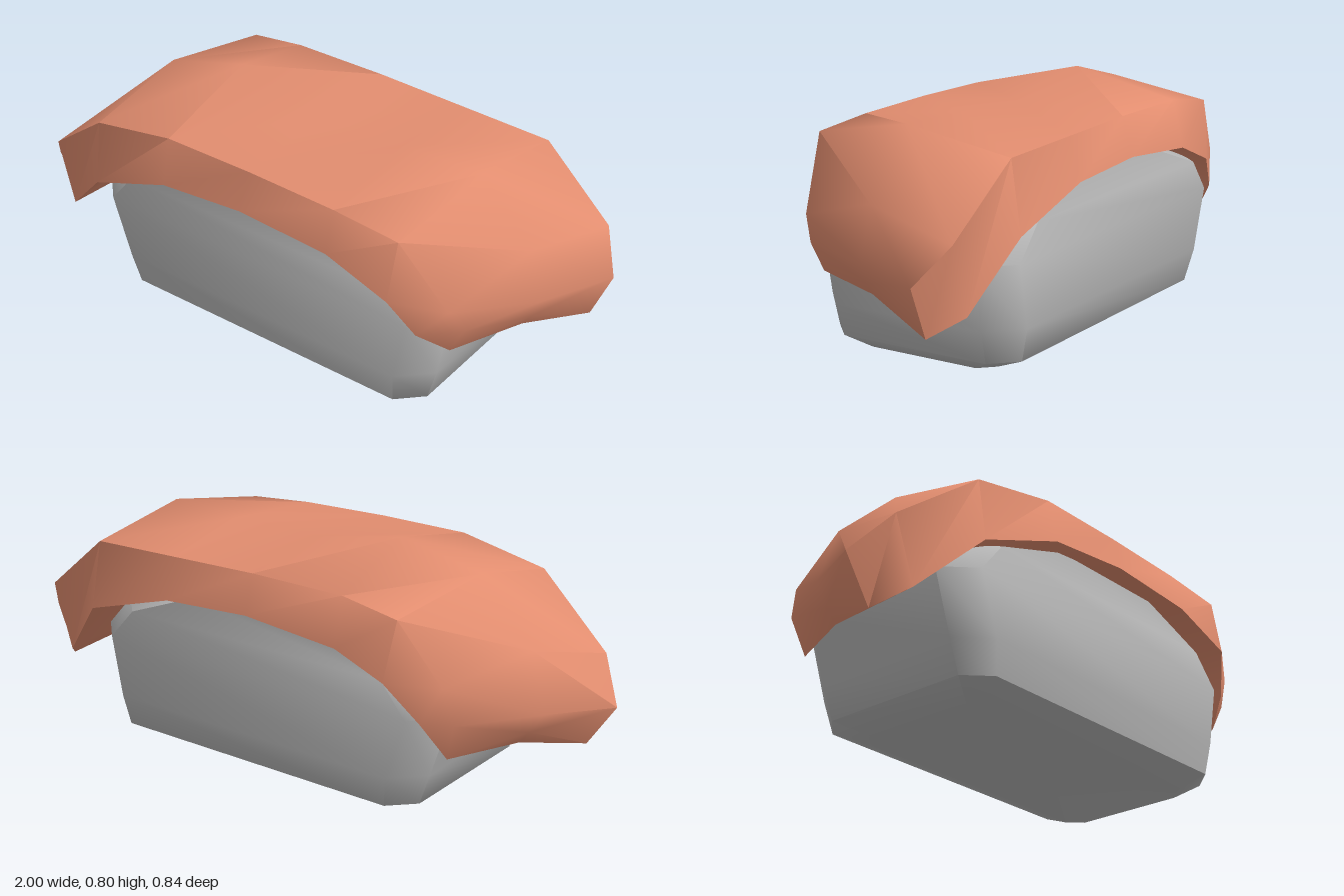
import * as THREE from 'three';
import { toCreasedNormals } from 'three/addons/utils/BufferGeometryUtils.js';

// Skin a row of closed cross-sections (equal point counts) and cap both ends.
function loft(rings, crease) {
  const n = rings[0].length;
  const pos = rings.flat(2);
  const index = [];
  rings.slice(1).forEach((_, r) => {
    for (let i = 0; i < n; i++) {
      const a = r * n + i, b = r * n + (i + 1) % n;
      index.push(a, b, a + n, b, b + n, a + n);
    }
  });
  const cap = (r, flip) => {
    const c = [0, 1, 2].map(k => rings[r].reduce((s, p) => s + p[k], 0) / n);
    const ci = pos.length / 3;
    pos.push(...c);
    for (let i = 0; i < n; i++) {
      const a = r * n + i, b = r * n + (i + 1) % n;
      index.push(...(flip ? [ci, b, a] : [ci, a, b]));
    }
  };
  cap(0, true);
  cap(rings.length - 1, false);
  const g = new THREE.BufferGeometry();
  g.setAttribute('position', new THREE.Float32BufferAttribute(pos, 3));
  g.setIndex(index);
  return toCreasedNormals(g, crease);
}

export function createModel() {
  const model = new THREE.Group();
  const salmon = new THREE.MeshStandardMaterial({ color: 0xe28d6f, side: THREE.DoubleSide });
  salmon.name = 'salmon';
  const rice = new THREE.MeshStandardMaterial({ color: 0xb9b9b9 });
  rice.name = 'rice';

  const add = (name, geometry, material) => {
    const m = new THREE.Mesh(geometry, material);
    m.name = name;
    model.add(m);
  };

  // Rice block: chamfered rectangles stacked upward [y, xMin, xMax, zMin, zMax, chamfer]
  const layers = [
    [0.0, -0.46, 0.6, -0.26, 0.235, 0.05],
    [0.04, -0.58, 0.65, -0.36, 0.34, 0.08],
    [0.15, -0.62, 0.68, -0.385, 0.36, 0.1],
    [0.36, -0.69, 0.72, -0.385, 0.36, 0.1],
    [0.47, -0.6, 0.62, -0.385, 0.36, 0.1],
    [0.57, -0.3, 0.36, -0.375, 0.355, 0.1],
  ].map(([y, x0, x1, z0, z1, c]) => [
    [x0 + c, y, z1], [x1 - c, y, z1], [x1, y, z1 - c], [x1, y, z0 + c],
    [x1 - c, y, z0], [x0 + c, y, z0], [x0, y, z0 + c], [x0, y, z1 - c],
  ]);
  add('riceBlock', loft(layers, 1.0), rice);

  // Fish slice: skewed sections from -x to +x,
  // each [front bottom, front top, ridge, back top, back bottom]
  const sections = [
    [[-0.9, 0.16, 0.2], [-1, 0.31, 0.2], [-0.88, 0.34, -0.05], [-0.73, 0.36, -0.33], [-0.69, 0.23, -0.3]],
    [[-0.83, 0.22, 0.31], [-0.9, 0.44, 0.3], [-0.82, 0.53, -0.03], [-0.7, 0.48, -0.35], [-0.64, 0.36, -0.38]],
    [[-0.62, 0.43, 0.4], [-0.62, 0.65, 0.37], [-0.61, 0.73, 0], [-0.56, 0.68, -0.39], [-0.53, 0.48, -0.42]],
    [[-0.3, 0.55, 0.415], [-0.3, 0.71, 0.38], [-0.32, 0.8, -0.02], [-0.35, 0.71, -0.38], [-0.35, 0.55, -0.42]],
    [[0.02, 0.58, 0.42], [0.03, 0.71, 0.38], [0.03, 0.73, 0], [0, 0.71, -0.38], [0, 0.58, -0.42]],
    [[0.36, 0.56, 0.42], [0.36, 0.7, 0.38], [0.35, 0.74, 0], [0.33, 0.7, -0.38], [0.33, 0.56, -0.42]],
    [[0.59, 0.48, 0.42], [0.6, 0.68, 0.38], [0.65, 0.75, 0], [0.66, 0.69, -0.38], [0.67, 0.46, -0.42]],
    [[0.66, 0.35, 0.36], [0.75, 0.45, 0.32], [0.84, 0.54, 0], [0.92, 0.48, -0.35], [0.85, 0.25, -0.35]],
    [[0.73, 0.27, 0.27], [0.78, 0.37, 0.28], [0.89, 0.37, 0], [1, 0.36, -0.26], [0.93, 0.19, -0.26]],
  ].map((s) => {
    // Underside centre, lifted slightly above the two lower edges
    const under = s[0].map((v, k) => (v + s[4][k]) / 2 + (k === 1 ? 0.03 : 0));
    return [...s, under];
  });
  // Reversed so the section winding faces outward
  add('fishSlice', loft(sections.map(s => [...s].reverse()), 1.15), salmon);

  // Rice rings run front-to-back the same way; wind outward
  return model;
}
